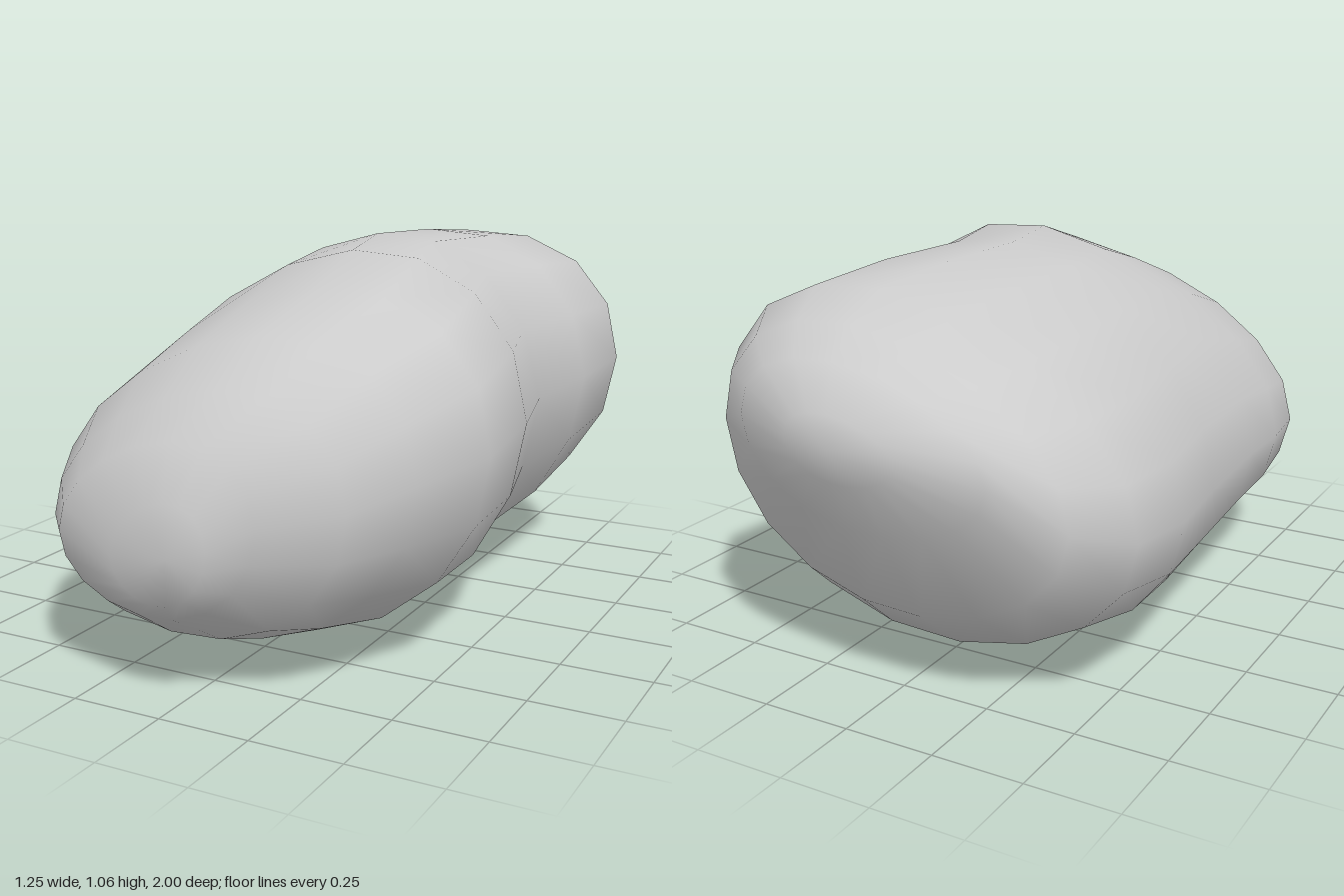
import * as THREE from 'three';

const SIDES = 18;

// Cross-sections from front to back: z, xMin, xMax, yMin, yMax, dent in the upper left flank
const SECTIONS = [
  [0.98, -0.14, 0.13, 0.28, 0.54, 0],
  [0.92, -0.34, 0.23, 0.22, 0.67, 0],
  [0.81, -0.44, 0.41, 0.14, 0.78, 0],
  [0.66, -0.525, 0.52, 0.09, 0.89, 0],
  [0.45, -0.555, 0.62, 0.045, 0.98, 0],
  [0.20, -0.57, 0.62, 0.02, 1.06, 0.02],
  [-0.12, -0.585, 0.54, 0.0, 1.08, 0.06],
  [-0.40, -0.625, 0.58, 0.04, 1.06, 0.02],
  [-0.66, -0.62, 0.60, 0.115, 1.03, 0],
  [-0.80, -0.51, 0.50, 0.24, 0.97, 0],
  [-0.92, -0.36, 0.34, 0.49, 0.91, 0],
  [-0.98, -0.15, 0.16, 0.63, 0.80, 0],
];
const FRONT_TIP = [0.03, 0.41, 1];
const BACK_TIP = [0.02, 0.72, -1];

// One leaning oval ring, counter-clockwise seen from the front
function ring([z, x0, x1, y0, y1, dent]) {
  const points = [];
  for (let j = 0; j < SIDES; j++) {
    const t = (j / SIDES) * Math.PI * 2;
    const lean = 0.18 + 0.12 * Math.sin(t);
    const pull = dent * Math.max(0, Math.cos(t - 0.7));
    points.push(
      (x0 + x1) / 2 + ((x1 - x0) / 2) * Math.cos(t) - pull * Math.abs(Math.sin(t)),
      (y0 + y1) / 2 + ((y1 - y0) / 2) * Math.sin(t + lean) - pull * 0.3,
      z
    );
  }
  return points;
}

// Skin the rings and close both ends on a tip
function boulderGeometry() {
  const positions = [...SECTIONS.flatMap(ring), ...FRONT_TIP, ...BACK_TIP];
  const rings = SECTIONS.length;
  const front = rings * SIDES;
  const back = front + 1;
  const index = [];
  for (let j = 0; j < SIDES; j++) {
    const k = (j + 1) % SIDES;
    index.push(front, j, k);
    for (let i = 0; i < rings - 1; i++) {
      const a = i * SIDES, b = a + SIDES;
      index.push(a + j, b + j, a + k, a + k, b + j, b + k);
    }
    const last = (rings - 1) * SIDES;
    index.push(back, last + k, last + j);
  }
  const geometry = new THREE.BufferGeometry();
  geometry.setAttribute('position', new THREE.Float32BufferAttribute(positions, 3));
  geometry.setIndex(index);
  geometry.computeVertexNormals();
  return geometry;
}

export function createModel() {
  const group = new THREE.Group();
  group.name = 'rock';
  const boulder = new THREE.Mesh(
    boulderGeometry(),
    new THREE.MeshStandardMaterial({ color: 0xcccccc })
  );
  boulder.name = 'boulder';
  group.add(boulder);
  return group;
}
